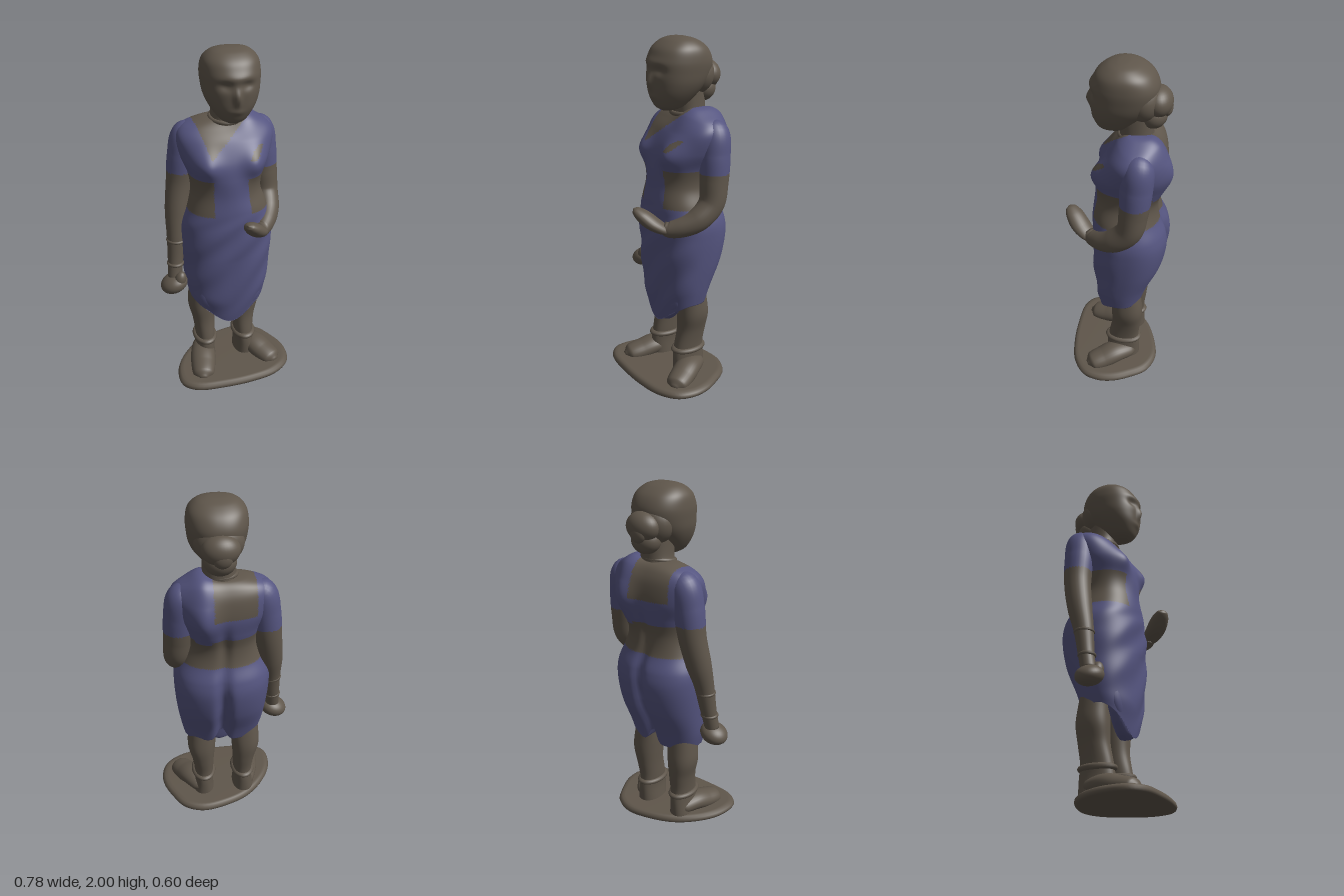
import * as THREE from 'three';

const brown = new THREE.MeshStandardMaterial({ color: 0x5f564b });
brown.name = 'stone brown';
const blue = new THREE.MeshStandardMaterial({ color: 0x555580 });
blue.name = 'cloth blue';

const bump = (d, width) => Math.exp(-((d / width) ** 2));
const smooth = THREE.MathUtils.smoothstep;

// Catmull-Rom sample of a table of rows at t in 0..1
function sampleRows(rows, t) {
  const f = t * (rows.length - 1), i = Math.min(Math.floor(f), rows.length - 2), u = f - i;
  const row = k => rows[THREE.MathUtils.clamp(k, 0, rows.length - 1)];
  return rows[0].map((_, c) => {
    const [a, b, d, e] = [row(i - 1)[c], row(i)[c], row(i + 1)[c], row(i + 2)[c]];
    return b + 0.5 * u * (d - a + u * (2 * a - 5 * b + 4 * d - e + u * (3 * (b - d) + e - a)));
  });
}

// Skins closed rings of points, with end caps; isCloth(x, y, z) picks the colour of each face
function skin(name, rings, startCap, endCap, isCloth = () => false) {
  const n = rings[0].length, pts = rings.flat();
  const last = (rings.length - 1) * n, s = pts.push(startCap) - 1, e = pts.push(endCap) - 1;
  const lists = [[], []];
  const tri = (a, b, c) => {
    const m = pts[a].clone().add(pts[b]).add(pts[c]).divideScalar(3);
    lists[isCloth(m.x, m.y, m.z) ? 1 : 0].push(a, b, c);
  };
  for (let i = 0; i < n; i++) {
    const k = (i + 1) % n;
    for (let j = 0; j < last; j += n) {
      tri(j + i, j + k, j + n + i);
      tri(j + k, j + n + k, j + n + i);
    }
    tri(s, k, i);
    tri(e, last + i, last + k);
  }
  const geo = new THREE.BufferGeometry().setFromPoints(pts);
  geo.setIndex([...lists[0], ...lists[1]]);
  geo.addGroup(0, lists[0].length, 0);
  geo.addGroup(lists[0].length, lists[1].length, 1);
  geo.computeVertexNormals();
  const mesh = new THREE.Mesh(geo, [brown, blue]);
  mesh.name = name;
  return mesh;
}

// Upright body from sections [y, xMin, xMax, zBack, zFront], bottom to top
function loft(name, rows, { segs = 40, steps = 40, power = 0.9, shape = v => v, cloth, bottom } = {}) {
  const pw = a => Math.sign(a) * Math.abs(a) ** power;
  const rings = [];
  for (let j = 0; j <= steps; j++) {
    const [y, x0, x1, z0, z1] = sampleRows(rows, j / steps);
    rings.push(Array.from({ length: segs }, (_, i) => {
      const a = i / segs * Math.PI * 2;
      return shape(new THREE.Vector3((x0 + x1) / 2 + (x1 - x0) / 2 * pw(Math.sin(a)), y,
        (z0 + z1) / 2 + (z1 - z0) / 2 * pw(Math.cos(a))));
    }));
  }
  const mid = r => r.reduce((s, p) => s.add(p), new THREE.Vector3()).divideScalar(r.length);
  return skin(name, rings, bottom || mid(rings[0]), mid(rings[steps]), cloth);
}

// Rounded limb along points [x, y, z, radius]; flat squeezes it in height, floor is its lowest level
function limb(name, rows, { flat = 1, floor = 0, cloth, steps = 48, segs = 28 } = {}) {
  const curve = new THREE.CatmullRomCurve3(rows.map(r => new THREE.Vector3(r[0], r[1], r[2])));
  const { normals, binormals } = curve.computeFrenetFrames(steps);
  const rings = normals.map((nor, j) => {
    const c = curve.getPointAt(j / steps);
    const r = Math.max(0.002, sampleRows(rows.map(p => [p[3]]), curve.getUtoTmapping(j / steps))[0]);
    return Array.from({ length: segs }, (_, i) => {
      const a = i / segs * Math.PI * 2;
      const d = nor.clone().multiplyScalar(r * Math.cos(a)).addScaledVector(binormals[j], r * Math.sin(a));
      d.y *= flat;
      d.add(c);
      d.y = Math.max(d.y, floor);
      return d;
    });
  });
  return skin(name, rings, curve.getPoint(0), curve.getPoint(1), cloth);
}

function ball(name, pos, scale, tilt = 0) {
  const m = new THREE.Mesh(new THREE.SphereGeometry(1, 32, 20), brown);
  m.name = name;
  m.position.set(...pos);
  m.scale.set(...scale);
  m.rotation.z = tilt;
  return m;
}

function band(name, pos, radius, tube, depth = 1, tilt = 0) {
  const geo = new THREE.TorusGeometry(radius, tube, 10, 36).rotateX(Math.PI / 2).scale(1, 1, depth);
  const m = new THREE.Mesh(geo, brown);
  m.name = name;
  m.position.set(...pos);
  m.rotation.x = tilt;
  return m;
}

// Bust, drape, seat, folds and the pointed hem
function shapeTorso(v) {
  const { x, y, z } = v, front = smooth(z, -0.05, 0.05), back = 1 - smooth(z, -0.18, -0.05);
  v.z += front * 0.05 * (bump(x + 0.13, 0.075) + bump(x - 0.15, 0.075)) * bump(y - 1.38, 0.085);
  v.z += front * 0.018 * bump(x - 0.01, 0.08) * bump(y - 1.28, 0.16);
  v.z += back * 0.05 * bump(x - 0.02, 0.035) * bump(y - 0.8, 0.23);
  v.z += back * 0.02 * bump(x - 0.01, 0.03) * bump(y - 1.22, 0.12);
  v.z -= back * 0.05 * bump(x - 0.13, 0.08) * bump(y - 1.41, 0.15);
  v.z += front * 0.005 * Math.sin((y - 0.8 * x) * 32) * smooth(y, 0.5, 0.6) * (1 - smooth(y, 1, 1.1));
  v.y += 0.025 * bump(x - 0.13, 0.07) * smooth(y, 1.5, 1.57);
  if (y < 0.8) {
    const hem = 0.5 - 0.15 * smooth(z, 0, 0.08) * bump(x - 0.01, 0.15) + 0.1 * back * bump(x - 0.02, 0.035);
    v.y = 0.8 - (0.8 - y) / 0.3 * (0.8 - hem);
  }
  return v;
}

function torsoCloth(x, y, z) {
  if (y < 1.09) return true;
  if (z > -0.06) {
    const drapeEdge = 1.42 + (x + 0.1) * 0.85;
    if (y > 1.4 && x > -0.15 + (1.57 - y) * 0.35 && y > drapeEdge && x < 0.12) return false;
    if (x > 0.11 && x < 0.2 && Math.abs(y - 1.41 - (x - 0.11) * 0.7) < 0.025 * Math.sin((x - 0.11) * 35)) return false;
    return y > 1.3 || (z > 0 && x > -0.09 && x < 0.11 + (1.2 - y) * 0.1);
  }
  if (y > 1.41 && x > -0.16 && x < 0.07) return false;
  return y > 1.27 || (x > 0.08 && x < 0.2 && z < -0.2 && y > 1.25);
}

// Brow, eye hollows, nose and lips
function shapeHead(v) {
  const { y } = v, x = v.x - 0.03, f = smooth(v.z, 0, 0.08);
  v.z += f * 0.01 * bump(y - 1.875, 0.025) * bump(x, 0.1);
  v.z -= f * 0.015 * (bump(x - 0.06, 0.035) + bump(x + 0.06, 0.035)) * bump(y - 1.835, 0.025);
  v.z += f * 0.024 * bump(x, 0.018) * bump(y - 1.775, 0.045);
  v.z += f * 0.006 * bump(x, 0.04) * bump(y - 1.695, 0.016);
  return v;
}

export function createModel() {
  const g = new THREE.Group();
  g.name = 'figurine';

  // Base plate
  const outline = [[-0.32, 0.1], [-0.315, 0.22], [-0.24, 0.28], [-0.07, 0.295], [0.1, 0.285], [0.25, 0.25],
    [0.35, 0.175], [0.38, 0.08], [0.37, -0.01], [0.33, -0.1], [0.26, -0.2], [0.15, -0.245], [0, -0.22],
    [-0.15, -0.15], [-0.27, -0.02]].map(([x, z]) => new THREE.Vector3(x, 0, z));
  const loop = new THREE.CatmullRomCurve3(outline, true).getPoints(80).slice(0, -1);
  const layer = (y, k) => loop.map(p => new THREE.Vector3(0.02 + (p.x - 0.02) * k, y, 0.03 + (p.z - 0.03) * k));
  g.add(skin('base', [layer(0, 0.95), layer(0, 1), layer(0.012, 1.015), layer(0.026, 1), layer(0.036, 0.96),
    layer(0.038, 0.9)], new THREE.Vector3(0.02, 0, 0.03), new THREE.Vector3(0.02, 0.04, 0.03)));

  // Torso with blouse, draped cloth and skirt
  g.add(loft('torsoAndDress', [
    [0.5, -0.21, 0.235, -0.155, 0.11], [0.6, -0.235, 0.255, -0.19, 0.135], [0.75, -0.25, 0.275, -0.255, 0.15],
    [0.9, -0.26, 0.285, -0.285, 0.155], [1.0, -0.255, 0.28, -0.275, 0.155], [1.1, -0.215, 0.245, -0.235, 0.145],
    [1.2, -0.19, 0.21, -0.225, 0.125], [1.3, -0.205, 0.225, -0.245, 0.115], [1.4, -0.245, 0.27, -0.26, 0.1],
    [1.5, -0.26, 0.29, -0.25, 0.06], [1.56, -0.225, 0.255, -0.225, 0.01], [1.595, -0.13, 0.17, -0.19, -0.03],
    [1.605, -0.05, 0.09, -0.14, -0.06]],
  { segs: 144, steps: 168, power: 0.85, shape: shapeTorso, cloth: torsoCloth, bottom: new THREE.Vector3(0, 0.58, -0.02) }));

  // Thick front fold hanging between the legs
  g.add(loft('skirtFold', [[0.35, -0.02, 0.04, 0.03, 0.075], [0.37, -0.065, 0.085, 0.02, 0.1],
    [0.43, -0.13, 0.15, 0.01, 0.115], [0.52, -0.18, 0.2, 0, 0.125], [0.65, -0.18, 0.2, 0, 0.12]], { cloth: () => true }));

  // Neck, necklace and head
  g.add(loft('neck', [[1.48, -0.09, 0.13, -0.2, 0.02], [1.57, -0.075, 0.12, -0.185, 0.0],
    [1.63, -0.06, 0.115, -0.18, 0.0], [1.74, -0.06, 0.115, -0.18, 0.02]]));
  g.add(band('necklace', [0.025, 1.6, -0.085], 0.09, 0.013, 0.95, 0.15));
  g.add(loft('head', [[1.615, -0.005, 0.065, -0.01, 0.08], [1.64, -0.045, 0.105, -0.06, 0.115],
    [1.7, -0.09, 0.15, -0.12, 0.14], [1.76, -0.117, 0.177, -0.17, 0.148], [1.82, -0.127, 0.187, -0.2, 0.15],
    [1.88, -0.13, 0.19, -0.205, 0.142], [1.94, -0.118, 0.178, -0.175, 0.115], [1.98, -0.08, 0.14, -0.12, 0.065],
    [1.997, -0.03, 0.09, -0.065, 0.015], [2, 0.028, 0.032, -0.027, -0.023]], { segs: 88, steps: 81, shape: shapeHead }));

  // Hair gathered in a bun
  g.add(ball('hairMass', [0.03, 1.8, -0.125], [0.13, 0.12, 0.1]));
  g.add(ball('hairBun', [0.03, 1.79, -0.198], [0.1, 0.08, 0.077]));
  g.add(ball('hairBunLower', [0.03, 1.715, -0.175], [0.085, 0.075, 0.075]));
  g.add(ball('hairBunKnot', [0.025, 1.76, -0.245], [0.05, 0.05, 0.03]));

  // Arms: right hangs down with a fist, left is bent forward with an open palm
  const sleeve = (x, y) => y > 1.29;
  g.add(limb('rightArm', [[-0.13, 1.54, -0.13, 0.04], [-0.19, 1.5, -0.13, 0.08], [-0.218, 1.38, -0.125, 0.085],
    [-0.24, 1.22, -0.12, 0.077], [-0.265, 1.05, -0.09, 0.07], [-0.28, 0.9, -0.055, 0.056],
    [-0.295, 0.75, -0.03, 0.045], [-0.305, 0.65, -0.01, 0.042]], { cloth: sleeve, steps: 90 }));
  g.add(ball('rightFist', [-0.312, 0.612, 0], [0.083, 0.056, 0.078], 0.35));
  g.add(ball('rightThumb', [-0.28, 0.65, 0.03], [0.034, 0.05, 0.034], -0.3));
  g.add(band('rightArmlet', [-0.282, 0.88, -0.05], 0.049, 0.01));
  g.add(band('rightBangle', [-0.296, 0.735, -0.025], 0.04, 0.011));
  g.add(limb('leftArm', [[0.16, 1.54, -0.13, 0.04], [0.22, 1.5, -0.13, 0.082], [0.24, 1.38, -0.122, 0.088],
    [0.255, 1.24, -0.112, 0.08], [0.265, 1.12, -0.09, 0.073], [0.255, 1.04, -0.01, 0.068],
    [0.22, 1.0, 0.07, 0.058], [0.18, 0.985, 0.13, 0.046], [0.16, 0.995, 0.155, 0.035]], { cloth: sleeve, steps: 90 }));
  g.add(limb('leftHand', [[0.2, 0.965, 0.11, 0.02], [0.165, 0.985, 0.155, 0.048], [0.13, 1.02, 0.205, 0.058],
    [0.09, 1.068, 0.25, 0.05], [0.065, 1.095, 0.275, 0.028], [0.058, 1.1, 0.282, 0.005]], { flat: 0.5 }));

  // Legs, anklets and feet
  for (const s of [-1, 1]) {
    const side = s < 0 ? 'right' : 'left';
    const rows = [[0.03, 0.06, 0.195, -0.14, 0.06], [0.12, 0.068, 0.182, -0.14, 0.06], [0.2, 0.064, 0.182, -0.135, 0.048],
      [0.3, 0.06, 0.195, -0.147, 0.03], [0.4, 0.052, 0.218, -0.155, 0.03], [0.5, 0.045, 0.215, -0.145, 0.03],
      [0.65, 0.04, 0.2, -0.12, 0.04]];
    g.add(loft(side + 'Leg', rows.map(([y, a, b, c, d]) => s > 0 ? [y, a, b, c, d] : [y, -b, -a, c, d])));
    g.add(band(side + 'Anklet', [s * 0.124, 0.17, -0.04], 0.058, 0.017, 1.5));
    const [tx, tz] = s > 0 ? [0.285, 0.165] : [-0.19, 0.225];
    const foot = [[0, 0.06, 0.03], [0.12, 0.07, 0.06], [0.4, 0.075, 0.075], [0.65, 0.055, 0.075],
      [0.9, 0.04, 0.062], [1, 0.035, 0.02]];
    g.add(limb(side + 'Foot', foot.map(([k, y, r]) =>
      [s * 0.125 + (tx - s * 0.125) * k, y, -0.11 + (tz + 0.11) * k, r]), { flat: 0.75, floor: 0.02 }));
  }
  return g;
}
